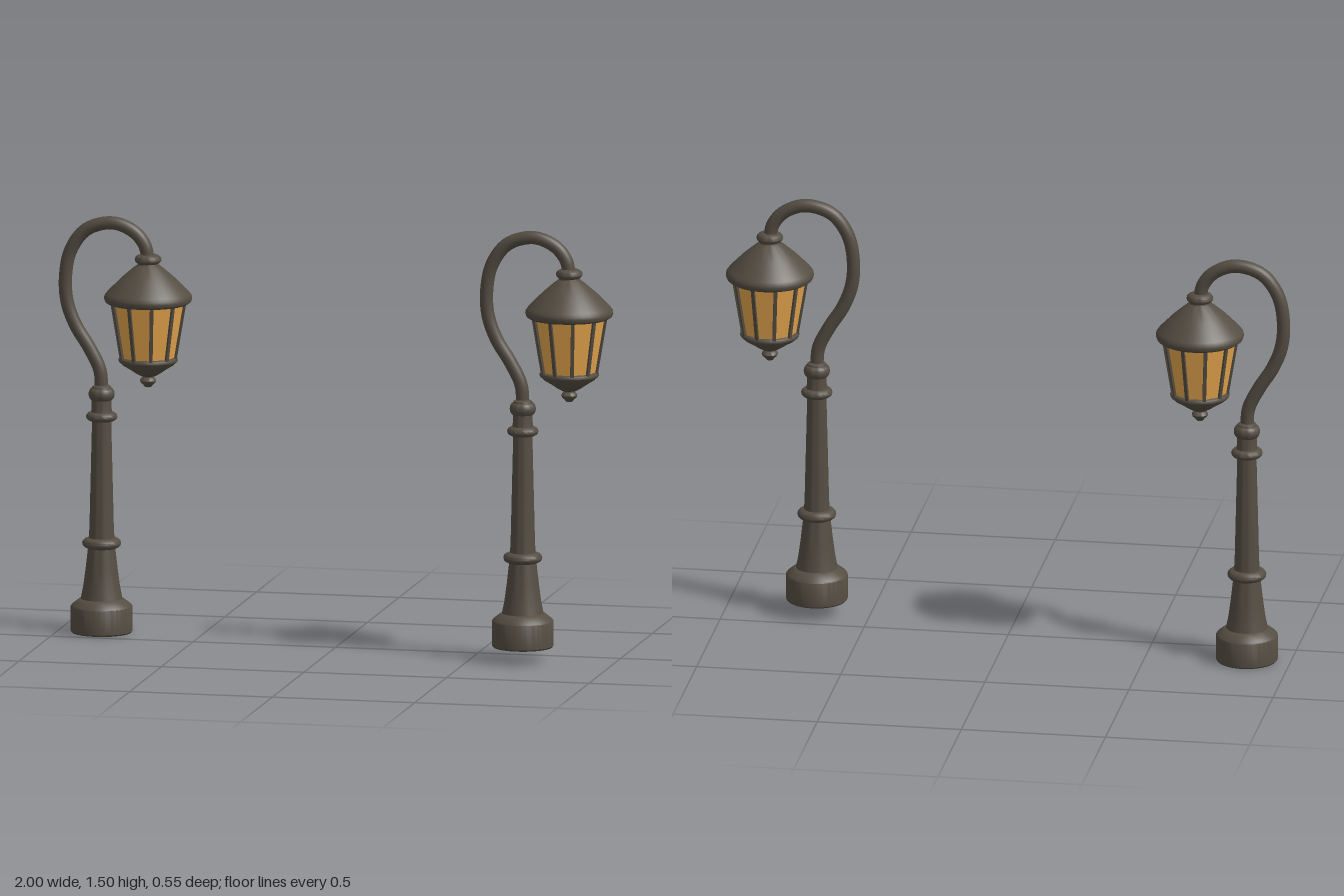
import * as THREE from 'three';
import { toCreasedNormals } from 'three/addons/utils/BufferGeometryUtils.js';

const iron = new THREE.MeshStandardMaterial({ color: 0x544d42 });
const amber = new THREE.MeshStandardMaterial({ color: 0xe5a54d });

function add(parent, name, geometry, material = iron) {
  const mesh = new THREE.Mesh(geometry, material);
  mesh.name = name;
  parent.add(mesh);
  return mesh;
}

// Turned part from [radius, height] pairs, bottom to top
function turned(profile) {
  const points = profile.map(([r, y]) => new THREE.Vector2(r, y));
  return toCreasedNormals(new THREE.LatheGeometry(points, 36), 0.6);
}

// Rounded ring bulging from radius inner to outer, centred on height y
function ring(inner, outer, y, height) {
  const profile = [];
  for (let i = 0; i <= 8; i++) {
    const a = -Math.PI / 2 + (Math.PI * i) / 8;
    profile.push([inner + (outer - inner) * Math.cos(a), y + (Math.sin(a) * height) / 2]);
  }
  return turned(profile);
}

function createLantern() {
  const lantern = new THREE.Group();
  lantern.name = 'lantern';

  add(lantern, 'collar', ring(0.02, 0.046, 1.302, 0.036));
  add(lantern, 'roof', turned([
    [0, 1.15], [0.138, 1.15], [0.147, 1.156], [0.151, 1.166], [0.15, 1.176],
    [0.143, 1.186], [0.094, 1.236], [0.05, 1.274], [0.036, 1.284], [0.033, 1.295], [0, 1.3],
  ]));

  // Ten-sided tapered glass
  const sides = 10, bottom = 0.955, top = 1.155, rBottom = 0.093, rTop = 0.127;
  const glass = add(lantern, 'glass', toCreasedNormals(
    new THREE.CylinderGeometry(rTop, rBottom, top - bottom, sides, 1, true, Math.PI / sides), 0.3), amber);
  glass.position.y = (top + bottom) / 2;

  // Glazing bars on the glass corners
  const length = Math.hypot(top - bottom, rTop - rBottom);
  const barGeometry = new THREE.BoxGeometry(0.012, length, 0.012);
  for (let i = 0; i < sides; i++) {
    const pivot = new THREE.Group();
    pivot.name = 'glazingBar';
    pivot.rotation.y = ((2 * i + 1) * Math.PI) / sides;
    const bar = add(pivot, 'bar', barGeometry);
    bar.position.set(0, (top + bottom) / 2, (rTop + rBottom) / 2);
    bar.rotation.x = Math.atan2(rTop - rBottom, top - bottom);
    lantern.add(pivot);
  }

  add(lantern, 'lowerRim', ring(0.09, 0.102, 0.953, 0.022));
  add(lantern, 'bowl', turned([
    [0, 0.897], [0.025, 0.897], [0.04, 0.905], [0.065, 0.922], [0.088, 0.936], [0.094, 0.948], [0.09, 0.96], [0, 0.96],
  ]));
  add(lantern, 'finial', turned([
    [0, 0.857], [0.011, 0.859], [0.017, 0.867], [0.025, 0.874], [0.028, 0.881], [0.024, 0.889], [0.018, 0.893], [0.018, 0.9],
  ]));
  return lantern;
}

function createLamp() {
  const lamp = new THREE.Group();
  lamp.name = 'streetLamp';

  // Foot and tapering post
  add(lamp, 'base', turned([
    [0, 0], [0.102, 0], [0.106, 0.005], [0.106, 0.09], [0.102, 0.096], [0.078, 0.115], [0.07, 0.118], [0, 0.118],
  ]));
  add(lamp, 'pedestal', turned([[0.073, 0.11], [0.063, 0.16], [0.055, 0.22], [0.046, 0.3]]));
  add(lamp, 'shaft', turned([[0.046, 0.3], [0.042, 0.36], [0.033, 0.73], [0.033, 0.76]]));
  add(lamp, 'lowerRing', ring(0.04, 0.067, 0.31, 0.038));
  add(lamp, 'upperRing', ring(0.03, 0.054, 0.75, 0.034));
  add(lamp, 'neck', turned([[0.038, 0.755], [0.034, 0.78], [0.034, 0.83]]));
  add(lamp, 'topRing', ring(0.03, 0.045, 0.828, 0.044));
  add(lamp, 'socket', turned([[0.036, 0.84], [0.032, 0.854], [0.022, 0.86], [0, 0.86]]));

  // Swan-neck arm
  const path = new THREE.CatmullRomCurve3([
    [0, 0.83], [-0.006, 0.91], [-0.043, 0.987], [-0.09, 1.062], [-0.12, 1.14], [-0.127, 1.227],
    [-0.108, 1.325], [-0.052, 1.399], [0.04, 1.424], [0.115, 1.395], [0.153, 1.347], [0.163, 1.29],
  ].map(([x, y]) => new THREE.Vector3(x, y, 0)));
  add(lamp, 'arm', new THREE.TubeGeometry(path, 80, 0.023, 16));

  const lantern = createLantern();
  lantern.position.x = 0.163;
  lamp.add(lantern);
  return lamp;
}

export function createModel() {
  const model = new THREE.Group();
  model.name = 'streetLamps';
  for (const [x, y, z] of [[-0.848, 0, -0.122], [0.684, 0.05, 0.122]]) {
    const lamp = createLamp();
    lamp.position.set(x, y, z);
    model.add(lamp);
  }
  return model;
}
